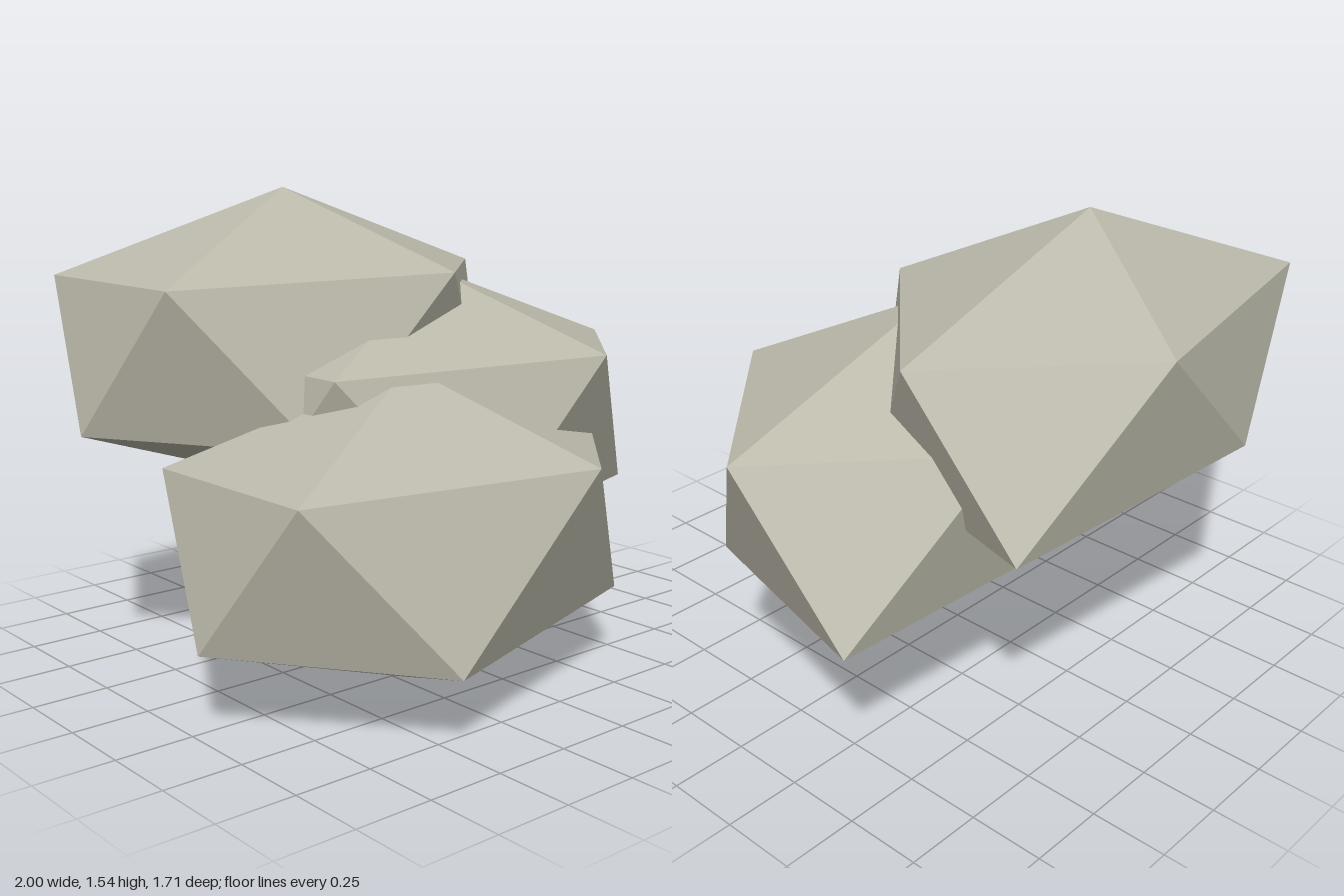
import * as THREE from 'three';

// One faceted boulder: two poles joined by two staggered five-point rings.
function boulderGeometry() {
  const top = [-0.22, 1.005, 0.288];
  const bottom = [-0.22, 0, 0.288];
  const upper = [
    [0.62, 0.727, 0.286], [0.045, 0.74, 0.854], [-0.875, 0.717, 0.605],
    [-0.9, 0.727, -0.04], [0.01, 0.708, -0.215],
  ];
  const lower = [
    [0.41, 0.25, 0.602], [-0.5, 0.22, 0.854], [-1, 0.253, 0.29],
    [-0.46, 0.258, -0.19], [0.54, 0.203, -0.08],
  ];

  const corners = [];
  for (let i = 0; i < 5; i++) {
    const j = (i + 1) % 5;
    corners.push(
      top, upper[j], upper[i],
      upper[i], upper[j], lower[i],
      lower[i], upper[j], lower[j],
      bottom, lower[i], lower[j],
    );
  }

  // Unshared corners give each facet its own flat normal.
  const geometry = new THREE.BufferGeometry();
  geometry.setAttribute('position', new THREE.Float32BufferAttribute(corners.flat(), 3));
  geometry.computeVertexNormals();
  return geometry;
}

export function createModel() {
  const model = new THREE.Group();
  model.name = 'boulderPile';

  const stone = new THREE.MeshStandardMaterial({ color: 0xbab8a9 });
  stone.name = 'stone';

  // Three copies stepping up and back, the middle one pushed sideways.
  const geometry = boulderGeometry();
  const boulders = [
    ['lowerBoulder', 0, 0, 0],
    ['middleBoulder', 0.375, 0.2675, -0.32],
    ['upperBoulder', 0, 0.535, -0.64],
  ];
  for (const [name, x, y, z] of boulders) {
    const boulder = new THREE.Mesh(geometry, stone);
    boulder.name = name;
    boulder.position.set(x, y, z);
    model.add(boulder);
  }
  return model;
}
